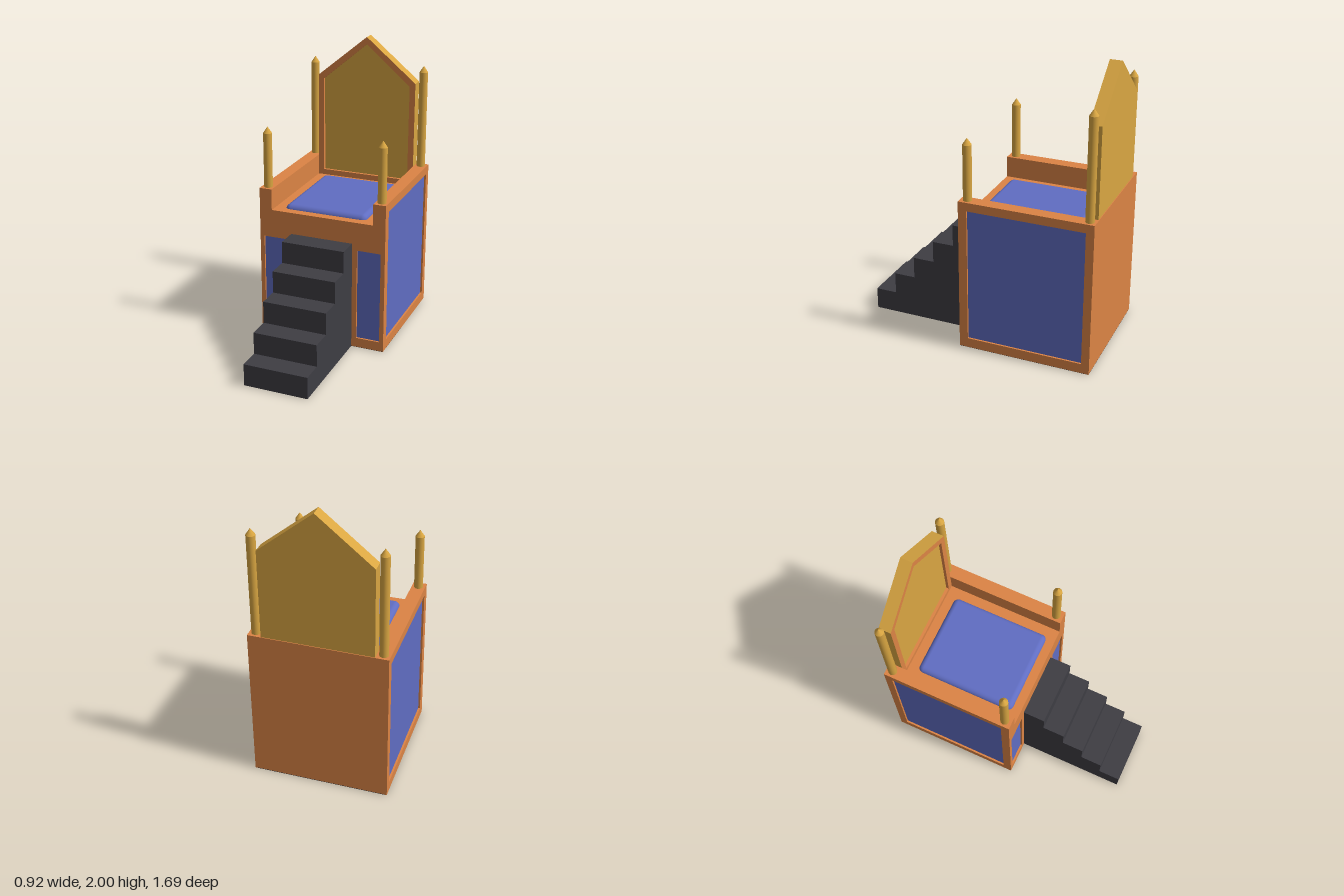
import * as THREE from 'three';
import { RoundedBoxGeometry } from 'three/addons/geometries/RoundedBoxGeometry.js';

const mat = (name, color) => Object.assign(new THREE.MeshStandardMaterial({ color }), { name });

export function createModel() {
  const orange = mat('orange frame', 0xdc8445);
  const gold = mat('gold', 0xd9a642);
  const blue = mat('blue fabric', 0x606dc2);
  const dark = mat('dark stone', 0x3e3d43);
  const throne = new THREE.Group();
  throne.name = 'throne';

  const add = (name, geometry, material) => {
    const mesh = new THREE.Mesh(geometry, material);
    mesh.name = name;
    throne.add(mesh);
    return mesh;
  };
  // Box given by its minimum and maximum on each axis
  const box = (name, material, x0, x1, y0, y1, z0, z1) =>
    add(name, new THREE.BoxGeometry(x1 - x0, y1 - y0, z1 - z0)
      .translate((x0 + x1) / 2, (y0 + y1) / 2, (z0 + z1) / 2), material);
  const points = (list) => list.map(([x, y]) => new THREE.Vector2(x, y));
  const rect = (x0, x1, y0, y1) => [[x0, y0], [x1, y0], [x1, y1], [x0, y1]];
  // Flat plate with optional holes, extruded along z
  const plate = (outline, holes, z0, z1) => {
    const shape = new THREE.Shape(points(outline));
    holes.forEach((h) => shape.holes.push(new THREE.Path(points(h))));
    return new THREE.ExtrudeGeometry(shape, { depth: z1 - z0, bevelEnabled: false }).translate(0, 0, z0);
  };

  const W = 0.46, IN = 0.445, SEAT = 0.93, ARM = 1.08, BACK = -0.845, FRONT = 0.08;

  // Body
  box('base', orange, -IN, IN, 0.004, SEAT, -0.84, 0.065);
  box('rearWall', orange, -IN, IN, 0.004, ARM, BACK, -0.839);
  box('underside', dark, -W + 0.001, W - 0.001, 0, 0.004, BACK + 0.001, FRONT - 0.001);

  // Front frame with raised arm ends and two recessed panels
  const frontOutline = [[-IN, 0.002], [IN, 0.002], [IN, ARM], [0.37, ARM], [0.37, SEAT],
    [-0.37, SEAT], [-0.37, ARM], [-IN, ARM]];
  const frontHoles = [rect(0.26, 0.43, 0.07, 0.73), rect(-0.43, -0.26, 0.07, 0.73)];
  add('frontFrame', plate(frontOutline, frontHoles, 0.065, FRONT), orange);

  for (const s of [-1, 1]) {
    const side = s > 0 ? 'left' : 'right';
    const mid = (a, b) => [Math.min(s * a, s * b), Math.max(s * a, s * b)];
    // Armrest, side frame and fabric panels
    box(side + 'Arm', orange, ...mid(0.37, IN), SEAT, ARM, -0.84, 0.065);
    box(side + 'FrontPanel', blue, ...mid(0.255, 0.435), 0.065, 0.735, 0.063, 0.067);
    const frame = plate(rect(-FRONT, -BACK, 0.002, ARM), [rect(-0.02, 0.79, 0.07, 1.02)], 0, W - IN);
    frame.rotateY(Math.PI / 2).translate(s > 0 ? IN : -W, 0, 0);
    add(side + 'SideFrame', frame, orange);
    box(side + 'SidePanel', blue, ...mid(IN - 0.002, IN + 0.002), 0.065, 1.025, -0.795, 0.025);

    // Pointed corner posts
    for (const [name, z, top] of [['FrontPost', 0.03, 1.51], ['RearPost', -0.8, 1.82]]) {
      const r = 0.03, neck = top - 0.045;
      const post = add(side + name, new THREE.CylinderGeometry(r, r, neck - ARM, 16, 1, true), gold);
      post.position.set(s * 0.415, (neck + ARM) / 2, z);
      const tip = add(side + name + 'Tip', new THREE.ConeGeometry(r, top - neck, 16), gold);
      tip.position.set(s * 0.415, (neck + top) / 2, z);
    }
  }

  // Seat cushion
  add('cushion', new RoundedBoxGeometry(0.6, 0.08, 0.71, 4, 0.039).translate(0, 0.92, -0.335), blue);

  // Gabled backrest: gold slab, gold outer edge and orange front rim
  const gable = (w, y0, shoulder, apex) => [[-w, y0], [w, y0], [w, shoulder], [0, apex], [-w, shoulder]];
  const outer = gable(0.37, SEAT, 1.695, 2);
  const rimOuter = gable(0.366, SEAT + 0.002, 1.693, 1.995);
  const opening = gable(0.328, 0.97, 1.67, 1.948);
  add('backrest', plate(outer, [], -0.84, -0.775), gold);
  box('backrestFoot', orange, -0.37, 0.37, SEAT, 0.968, -0.775, -0.757);
  add('backrestEdge', plate(outer, [rimOuter], -0.775, -0.755), [orange, gold]);
  add('backrestRim', plate(rimOuter, [opening], -0.775, -0.755), orange);

  // Stairs as one stepped profile
  const steps = 5, rise = 0.155, run = 0.153;
  const profile = [[-FRONT, 0]];
  profile.push([-FRONT - steps * run, 0]);
  for (let i = 0; i < steps; i++) {
    const z = -FRONT - (steps - i) * run;
    profile.push([z, (i + 1) * rise], [z + run, (i + 1) * rise]);
  }
  const stairs = plate(profile, [], -0.225, 0.225).rotateY(Math.PI / 2);
  add('stairs', stairs, dark);

  return throne;
}
